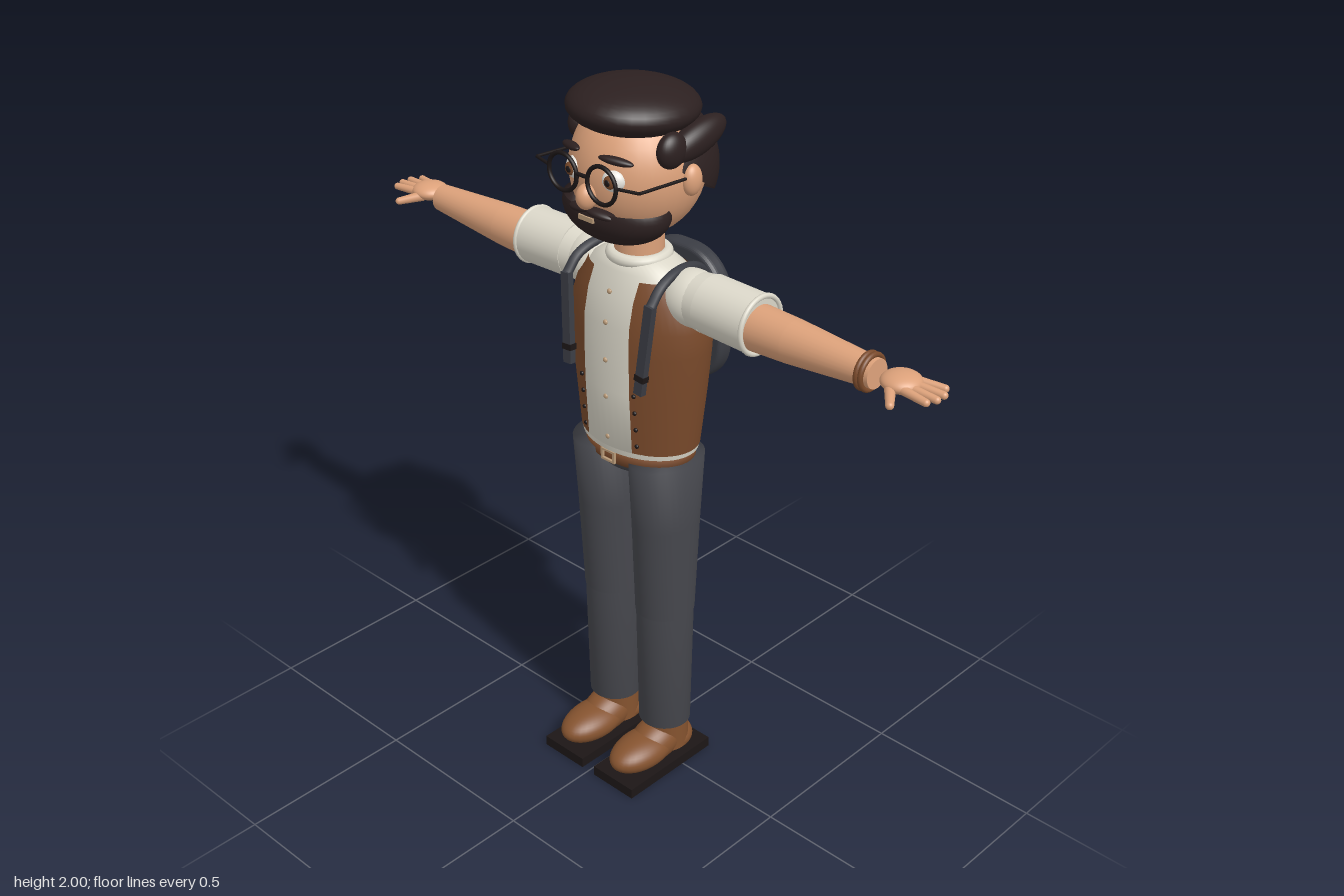
import * as THREE from 'three';

const mat = (name, color, side = THREE.FrontSide) => {
  const m = new THREE.MeshStandardMaterial({ color, side });
  m.name = name;
  return m;
};

export function createModel() {
  const root = new THREE.Group();
  root.name = 'beardedMan';
  const skin = mat('skin', 0xdca17a), hair = mat('darkHair', 0x2c2020, THREE.DoubleSide);
  const cream = mat('creamCloth', 0xdcd8ca), brown = mat('brownVest', 0x7a4a2b, THREE.DoubleSide);
  const shoe = mat('shoeLeather', 0x85532f), denim = mat('greyTrousers', 0x46474d);
  const pack = mat('packFabric', 0x3a3c43), black = mat('nearBlack', 0x1c1616);
  const white = mat('white', 0xf2efe8), tan = mat('buckleTan', 0xb99a78);

  const add = (name, geo, material, pos = [0, 0, 0], rot = [0, 0, 0], scale = [1, 1, 1]) => {
    const m = new THREE.Mesh(geo, material);
    m.name = name;
    m.position.set(...pos);
    m.rotation.set(...rot);
    m.scale.set(...scale);
    root.add(m);
    return m;
  };
  const ball = (name, material, pos, radii, rot) =>
    add(name, new THREE.SphereGeometry(1, 32, 24), material, pos, rot, radii);
  const box = (name, material, size, pos, rot) => add(name, new THREE.BoxGeometry(...size), material, pos, rot);
  // Tapered round bar from a to b
  const bar = (name, material, a, b, ra, rb = ra) => {
    const p = new THREE.Vector3(...a), q = new THREE.Vector3(...b), d = q.clone().sub(p);
    const m = add(name, new THREE.CylinderGeometry(rb, ra, d.length(), 28), material, p.clone().add(q).multiplyScalar(0.5).toArray());
    m.quaternion.setFromUnitVectors(new THREE.Vector3(0, 1, 0), d.normalize());
    return m;
  };
  // Elliptical rings [y, rx, rz, cx, cz]; gap leaves the front open to x = +-gap
  const loft = (rings, gap = 0, n = 48) => {
    const pos = [], idx = [], w = gap ? n + 1 : n;
    rings.forEach(([y, rx, rz, cx = 0, cz = 0], i) => {
      const t0 = gap ? Math.asin(Math.min(1, gap / rx)) : 0;
      for (let j = 0; j < w; j++) {
        const t = t0 + (2 * Math.PI - 2 * t0) * j / n;
        pos.push(cx + rx * Math.sin(t), y, cz + rz * Math.cos(t));
      }
      if (i) for (let j = 0; j < n; j++) {
        const a = (i - 1) * w + j, b = (i - 1) * w + (j + 1) % w;
        idx.push(a, b, a + w, b, b + w, a + w);
      }
    });
    const g = new THREE.BufferGeometry();
    g.setAttribute('position', new THREE.Float32BufferAttribute(pos, 3));
    g.setIndex(idx);
    g.computeVertexNormals();
    return g;
  };

  // Torso: shirt, open vest, collar, hem, belt
  add('shirt', loft([[1.02, 0.001, 0.001], [1.021, 0.172, 0.122, 0, -0.005], [1.2, 0.192, 0.131, 0, -0.006], [1.38, 0.204, 0.132, 0, -0.008],
    [1.46, 0.185, 0.118, 0, -0.008], [1.52, 0.14, 0.092, 0, -0.005], [1.55, 0.08, 0.072], [1.551, 0.001, 0.001]]), cream);
  add('vest', loft([[1.035, 0.179, 0.127, 0, -0.005], [1.2, 0.199, 0.136, 0, -0.006], [1.32, 0.21, 0.139, 0, -0.008],
    [1.39, 0.212, 0.137, 0, -0.008], [1.46, 0.191, 0.123, 0, -0.008], [1.51, 0.155, 0.102, 0, -0.006]], 0.078), brown);
  add('collar', new THREE.TorusGeometry(0.07, 0.016, 12, 36), cream, [0, 1.545, 0], [Math.PI / 2, 0, 0]);
  add('shirtHem', loft([[1.02, 0.174, 0.125, 0, -0.005], [1.036, 0.177, 0.128, 0, -0.005]]), cream);
  add('belt', loft([[0.98, 0.001, 0.001], [0.981, 0.165, 0.116, 0, -0.005], [1.02, 0.17, 0.12, 0, -0.005], [1.021, 0.001, 0.001]]), brown);
  const frame = new THREE.Shape([[-0.024, -0.017], [0.024, -0.017], [0.024, 0.017], [-0.024, 0.017]].map(p => new THREE.Vector2(...p)));
  frame.holes.push(new THREE.Path([[-0.018, -0.011], [-0.018, 0.011], [0.018, 0.011], [0.018, -0.011]].map(p => new THREE.Vector2(...p))));
  add('beltBuckle', new THREE.ExtrudeGeometry(frame, { depth: 0.008, bevelEnabled: false }), tan, [0, 1.002, 0.113]);
  for (const [y, z] of [[1.06, 0.118], [1.18, 0.124], [1.285, 0.125], [1.39, 0.123], [1.47, 0.108]])
    ball('shirtButton', tan, [0, y, z], [0.007, 0.007, 0.005]);
  for (const s of [1, -1]) for (const y of [1.06, 1.11, 1.16, 1.21])
    ball('vestButton', black, [s * 0.092, y, 0.106 + (y - 1.06) * 0.08], [0.006, 0.006, 0.005]);

  // Head and face
  bar('neck', skin, [0, 1.52, 0], [0, 1.65, 0], 0.064);
  ball('head', skin, [0, 1.78, 0.006], [0.168, 0.178, 0.172]);
  ball('nose', skin, [0, 1.745, 0.182], [0.025, 0.033, 0.029]);
  add('beard', new THREE.SphereGeometry(1, 40, 16, 0, Math.PI * 2, 1.33), hair, [0, 1.69, 0.08], [0, 0, 0], [0.158, 0.087, 0.104])
    .geometry = new THREE.SphereGeometry(1, 40, 16, 0, Math.PI * 2, 1.33, Math.PI - 1.33);
  box('mouth', tan, [0.05, 0.012, 0.008], [0, 1.689, 0.184]);
  for (const s of [1, -1]) {
    ball('moustache', hair, [s * 0.035, 1.706, 0.17], [0.042, 0.011, 0.02], [0, s * 0.25, -s * 0.15]);
    ball('ear', skin, [s * 0.168, 1.78, -0.005], [0.022, 0.04, 0.029]);
    ball('eyeWhite', white, [s * 0.065, 1.795, 0.155], [0.03, 0.028, 0.021], [0, s * 0.35, 0]);
    ball('iris', brown, [s * 0.065, 1.795, 0.171], [0.017, 0.017, 0.009]);
    ball('pupil', black, [s * 0.065, 1.795, 0.177], [0.009, 0.009, 0.005]);
    ball('eyebrow', hair, [s * 0.075, 1.848, 0.158], [0.045, 0.01, 0.014], [0, s * 0.4, -s * 0.12]);
    // Glasses
    add('glassesRim', new THREE.TorusGeometry(0.047, 0.0055, 10, 40), black, [s * 0.065, 1.795, 0.197]);
    bar('glassesHinge', black, [s * 0.11, 1.8, 0.197], [s * 0.172, 1.8, 0.18], 0.004);
    bar('glassesTemple', black, [s * 0.172, 1.8, 0.18], [s * 0.172, 1.79, 0.01], 0.004);
    // Side locks
    ball('sideLock', hair, [s * 0.146, 1.868, -0.045], [0.036, 0.042, 0.1], [0.25, 0, 0]);
    ball('templeLock', hair, [s * 0.148, 1.862, 0.045], [0.028, 0.045, 0.045]);
  }
  bar('glassesBridge', black, [-0.02, 1.803, 0.197], [0.02, 1.803, 0.197], 0.005);
  add('hairCap', new THREE.SphereGeometry(1, 40, 20, 0, Math.PI * 2, 0, Math.PI / 2), hair,
    [0, 1.772, -0.028], [-0.55, 0, 0], [0.176, 0.178, 0.178]);
  ball('topHair', hair, [0, 1.935, 0.02], [0.157, 0.064, 0.174], [-0.06, 0, -0.04]);

  // Arms and hands
  for (const s of [1, -1]) {
    ball('shoulder', cream, [s * 0.17, 1.468, -0.01], [0.085, 0.075, 0.073]);
    bar('sleeve', cream, [s * 0.17, 1.47, -0.012], [s * 0.235, 1.47, -0.012], 0.068, 0.075);
    bar('lowerSleeve', cream, [s * 0.23, 1.472, -0.012], [s * 0.39, 1.468, -0.012], 0.076, 0.077);
    add('sleeveCuff', new THREE.TorusGeometry(0.074, 0.007, 10, 36), cream, [s * 0.39, 1.468, -0.012], [0, Math.PI / 2, 0]);
    bar('upperForearm', skin, [s * 0.37, 1.462, -0.008], [s * 0.5, 1.465, -0.005], 0.061, 0.056);
    bar('forearm', skin, [s * 0.5, 1.465, -0.005], [s * 0.75, 1.472, 0.001], 0.056, 0.037);
    ball('palm', skin, [s * 0.812, 1.474, -0.008], [0.05, 0.024, 0.05]);
    [[-0.038, -0.054, 0.9], [-0.018, -0.026, 0.917], [0.003, 0.003, 0.918], [0.022, 0.03, 0.908]].forEach(([z0, z1, x]) => {
      bar('finger', skin, [s * 0.835, 1.472, z0], [s * x, 1.469, z1], 0.0115, 0.0095);
      ball('fingertip', skin, [s * x, 1.469, z1], [0.0095, 0.0095, 0.0095]);
    });
    bar('thumb', skin, [s * 0.805, 1.468, 0.025], [s * 0.845, 1.457, 0.078], 0.014, 0.01);
    ball('thumbTip', skin, [s * 0.845, 1.457, 0.078], [0.01, 0.01, 0.01]);
  }
  for (const x of [0.722, 0.735])
    add('bracelet', new THREE.TorusGeometry(0.043, 0.007, 10, 32), brown, [x, 1.472, 0.002], [0, Math.PI / 2, 0]);

  // Trousers and shoes
  ball('hips', denim, [0, 0.99, 0], [0.12, 0.062, 0.108]);
  for (const s of [1, -1]) {
    add('trouserLeg', loft([[0.14, 0.001, 0.001, s * 0.097], [0.1405, 0.073, 0.072, s * 0.097, -0.002], [0.515, 0.077, 0.082, s * 0.097],
      [0.516, 0.079, 0.084, s * 0.097], [0.8, 0.084, 0.1, s * 0.1, 0.002], [0.996, 0.087, 0.115, s * 0.102, 0.004],
      [0.997, 0.001, 0.001, s * 0.102]], 0, 36), denim);
    bar('ankle', shoe, [s * 0.097, 0.05, -0.01], [s * 0.097, 0.142, -0.005], 0.064);
    ball('shoeToe', shoe, [s * 0.097, 0.066, 0.09], [0.067, 0.048, 0.113]);
    ball('shoeInstep', shoe, [s * 0.097, 0.075, 0.03], [0.062, 0.06, 0.1], [0.25, 0, 0]);
    ball('shoeHeel', shoe, [s * 0.097, 0.06, -0.025], [0.064, 0.042, 0.066]);
    box('sole', black, [0.148, 0.03, 0.32], [s * 0.097, 0.015, 0.05]);
  }

  // Backpack with shoulder straps
  const w = 0.135, h = 0.178, r = 0.115, p = new THREE.Shape();
  p.absarc(w - r, h - r, r, 0, Math.PI / 2);
  p.absarc(r - w, h - r, r, Math.PI / 2, Math.PI);
  p.absarc(r - w, r - h, r, Math.PI, Math.PI * 1.5);
  p.absarc(w - r, r - h, r, Math.PI * 1.5, Math.PI * 2);
  add('backpack', new THREE.ExtrudeGeometry(p, { depth: 0.02, bevelThickness: 0.016, bevelSize: 0.012, bevelSegments: 5, curveSegments: 16 }),
    pack, [0, 1.33, -0.182]);
  for (const s of [1, -1]) {
    const pts = [[0.145, 1.475, 0.112], [0.144, 1.515, 0.075], [0.138, 1.535, 0.01], [0.128, 1.52, -0.07], [0.105, 1.45, -0.15]];
    const path = new THREE.CatmullRomCurve3(pts.map(([x, y, z]) => new THREE.Vector3(s * x, y, z)));
    add('shoulderStrap', new THREE.TubeGeometry(path, 24, 0.013, 10), pack);
    box('frontStrap', pack, [0.027, 0.245, 0.018], [s * 0.135, 1.357, 0.122], [-0.07, 0, -s * 0.085]);
    box('strapClip', black, [0.031, 0.016, 0.022], [s * 0.128, 1.28, 0.127], [-0.07, 0, -s * 0.085]);
  }
  return root;
}
